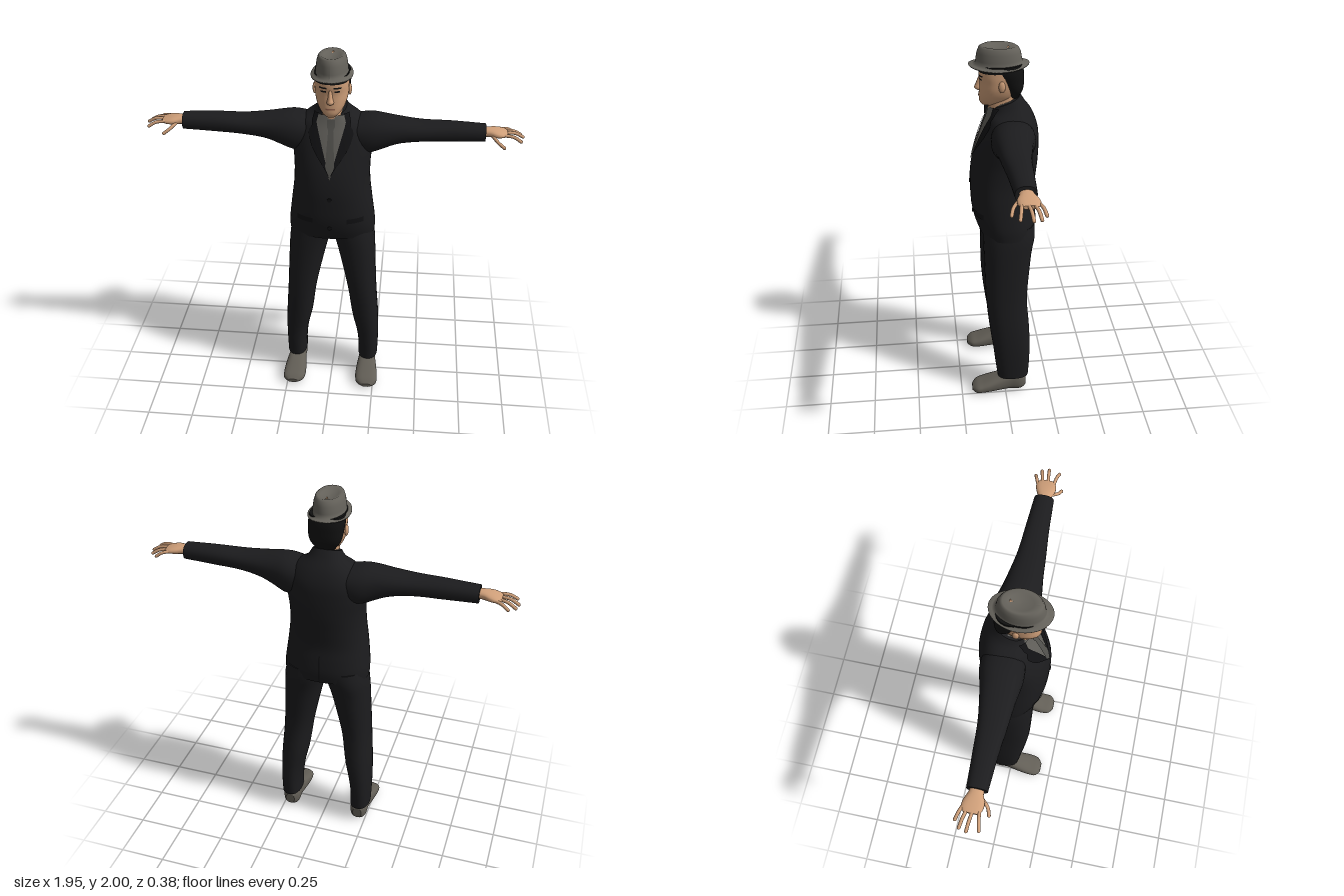
import * as THREE from 'three';

const mat = (name, color, side = THREE.FrontSide) => {
  const m = new THREE.MeshStandardMaterial({ color, side });
  m.name = name;
  return m;
};

// Fills a geometry from points and faces; turns the faces outward when they enclose negative volume.
function build(pos, idx, solid = true) {
  if (solid) {
    const p = (i) => new THREE.Vector3().fromArray(pos, i * 3);
    let vol = 0;
    for (let i = 0; i < idx.length; i += 3) vol += p(idx[i]).dot(p(idx[i + 1]).cross(p(idx[i + 2])));
    if (vol < 0) idx.reverse();
  }
  const g = new THREE.BufferGeometry();
  g.setAttribute('position', new THREE.Float32BufferAttribute(pos, 3));
  g.setIndex(idx);
  g.computeVertexNormals();
  return g;
}

// Smooth interpolation of rows [t, a0, a1, b0, b1]
const spline = (rows) => {
  const s = new THREE.CubicInterpolant(rows.map((r) => r[0]), rows.flatMap((r) => r.slice(1)), 4);
  return (t) => [...s.evaluate(t)];
};

// Rounded cross-sections swept along an axis, capped at both ends
function loft(rows, axis, { s = 1, n = 2.3, steps = 28, seg = 28, warp } = {}) {
  const at = spline(rows), pos = [], idx = [];
  const t0 = rows[0][0], t1 = rows[rows.length - 1][0];
  const pw = (v) => Math.sign(v) * Math.abs(v) ** (2 / n);
  const put = (a, b, t) => {
    const v = axis === 'y' ? [a, t, b] : axis === 'x' ? [t, a, b] : [a, b, t];
    if (warp) warp(v);
    pos.push(v[0] * s, v[1], v[2]);
  };
  const ring = (t) => {
    const [a0, a1, b0, b1] = at(t);
    for (let j = 0; j < seg; j++) {
      const q = (j / seg) * Math.PI * 2;
      put((a0 + a1) / 2 + ((a1 - a0) / 2) * pw(Math.cos(q)), (b0 + b1) / 2 + ((b1 - b0) / 2) * pw(Math.sin(q)), t);
    }
  };
  for (let i = 0; i <= steps; i++) ring(t0 + ((t1 - t0) * i) / steps);
  for (let i = 0; i < steps; i++) for (let j = 0; j < seg; j++) {
    const a = i * seg + j, b = i * seg + ((j + 1) % seg);
    idx.push(a, b, a + seg, b, b + seg, a + seg);
  }
  for (const t of [t0, t1]) {
    const k = pos.length / 3, [a0, a1, b0, b1] = at(t);
    ring(t);
    put((a0 + a1) / 2, (b0 + b1) / 2, t);
    for (let j = 0; j < seg; j++) {
      const e = [k + j, k + ((j + 1) % seg), k + seg];
      idx.push(...(t === t0 ? e.reverse() : e));
    }
  }
  return build(pos, idx);
}

// Symmetric row: height, half width, front z, back z
const sym = ([y, w, f, b]) => [y, -w, w, b, f];

const JACKET = [
  [0.995, 0.23, 0.125, -0.175], [1.05, 0.23, 0.145, -0.182], [1.12, 0.222, 0.16, -0.178],
  [1.2, 0.212, 0.165, -0.17], [1.3, 0.2, 0.165, -0.178], [1.4, 0.198, 0.15, -0.188],
  [1.5, 0.205, 0.12, -0.19], [1.58, 0.195, 0.092, -0.183], [1.64, 0.155, 0.07, -0.16],
  [1.69, 0.1, 0.058, -0.122], [1.74, 0.072, 0.045, -0.095]].map(sym);
const HEAD = [
  [1.695, 0.03, 0.098, 0], [1.71, 0.046, 0.11, -0.03], [1.74, 0.066, 0.113, -0.06],
  [1.78, 0.08, 0.111, -0.08], [1.82, 0.085, 0.109, -0.09], [1.86, 0.086, 0.113, -0.09],
  [1.9, 0.083, 0.108, -0.09], [1.93, 0.07, 0.09, -0.08]].map(sym);

// Thin panel lying on the front (dir 1) or back (dir -1) of a lofted body
function panel(rows, y0, y1, span, off, dir = 1, steps = 16, cols = 8) {
  const at = spline(rows), pos = [], idx = [];
  for (let i = 0; i <= steps; i++) {
    const y = y0 + ((y1 - y0) * i) / steps, [l, r] = span(y), [, w, b, f] = at(y);
    for (let j = 0; j <= cols; j++) {
      const x = l + ((r - l) * j) / cols;
      const d = ((f - b) / 2) * Math.max(0, 1 - Math.abs(x / w) ** 2.3) ** (1 / 2.3);
      pos.push(x, y, (f + b) / 2 + dir * (d + off));
    }
  }
  for (let i = 0; i < steps; i++) for (let j = 0; j < cols; j++) {
    const a = i * (cols + 1) + j, c = a + cols + 1;
    idx.push(...(dir > 0 ? [a, a + 1, c, a + 1, c + 1, c] : [a, c, a + 1, a + 1, c, c + 1]));
  }
  return build(pos, idx, false);
}

export function createModel() {
  const root = new THREE.Group();
  root.name = 'suitedMan';
  const suit = mat('suit', 0x1c1c1e), trim = mat('suitTrim', 0x121214), felt = mat('felt', 0x65625b, THREE.DoubleSide);
  const shoeMat = mat('shoe', 0x625e56), cloth = mat('shirt', 0x62605b), tieMat = mat('tie', 0x52514d);
  const skin = mat('skin', 0xd0a07a), hairMat = mat('hair', 0x111111), lip = mat('lips', 0x9c6a54);
  const add = (name, geo, m) => {
    const mesh = new THREE.Mesh(geo, m);
    mesh.name = name;
    root.add(mesh);
    return mesh;
  };
  const ease = THREE.MathUtils.smoothstep;

  // Jacket: the neckline slopes down towards the front
  add('jacket', loft(JACKET, 'y', { steps: 44, seg: 44, warp: (v) => { v[1] -= ease(v[1], 1.62, 1.74) * (v[2] + 0.09) * 0.4; } }), suit);

  // Shirt, tie and lapels
  const vee = (y) => 0.078 * Math.min(1, Math.max(0, (y - 1.37) / 0.28)) * (1 - 0.15 * ease(y, 1.65, 1.7));
  add('shirtFront', panel(JACKET, 1.37, 1.69, (y) => [-vee(y), vee(y)], 0.004), cloth);
  add('shirtCollar', loft([[1.64, 0.07, 0.066, -0.09], [1.68, 0.066, 0.068, -0.092], [1.735, 0.058, 0.05, -0.09]].map(sym), 'y',
    { warp: (v) => { v[1] -= ease(v[1], 1.64, 1.73) * (v[2] + 0.09) * 0.3; } }), cloth);
  const tieW = (y) => (y > 1.63 ? 0.02 : 0.012 + (1.63 - y) * 0.06) * ease(y, 1.38, 1.45);
  add('tie', panel(JACKET, 1.39, 1.67, (y) => [-tieW(y), tieW(y)], 0.009), tieMat);
  for (const s of [1, -1]) {
    const lap = (y) => {
      const x0 = vee(y) - 0.004, x1 = x0 + 0.055 * ease(y, 1.37, 1.56) * (1 - 0.55 * ease(y, 1.6, 1.64));
      return s > 0 ? [x0, x1] : [-x1, -x0];
    };
    add('lapel', panel(JACKET, 1.37, 1.695, lap, 0.007), trim);
    add('pocketFlap', panel(JACKET, 1.11, 1.14, (y) => (s > 0 ? [0.09, 0.175] : [-0.175, -0.09]), 0.004, 1, 3), trim);
  }
  add('backVent', panel(JACKET, 1.0, 1.16, () => [-0.004, 0.004], 0.002, -1, 8, 1), trim);
  for (const [y, z] of [[1.26, 0.167], [1.08, 0.154]]) {
    const b = add('button', new THREE.CylinderGeometry(0.011, 0.011, 0.008, 16), trim);
    b.rotation.x = Math.PI / 2;
    b.position.set(0, y, z);
  }

  for (const s of [1, -1]) {
    // Sleeves
    add('sleeve', loft([
      [0.08, 1.48, 1.64, -0.14, 0.05], [0.14, 1.465, 1.652, -0.155, 0.065], [0.2, 1.46, 1.662, -0.152, 0.07],
      [0.26, 1.485, 1.658, -0.135, 0.065], [0.33, 1.515, 1.648, -0.12, 0.056], [0.45, 1.535, 1.637, -0.1, 0.046],
      [0.6, 1.54, 1.637, -0.09, 0.032], [0.775, 1.545, 1.63, -0.08, 0.022]], 'x', { s }), suit);
    // Trouser legs
    add('trouserLeg', loft([
      [0.1, 0.155, 0.266, -0.132, 0.042], [0.2, 0.153, 0.268, -0.138, 0.055], [0.3, 0.14, 0.268, -0.14, 0.066],
      [0.4, 0.118, 0.264, -0.138, 0.08], [0.6, 0.09, 0.25, -0.125, 0.1], [0.8, 0.048, 0.24, -0.14, 0.106],
      [0.9, 0.024, 0.235, -0.152, 0.108], [0.98, 0.0, 0.228, -0.168, 0.11], [1.05, -0.03, 0.215, -0.168, 0.11]], 'y', { s }), suit);
    // Shoes
    add('shoe', loft([
      [-0.118, 0.182, 0.234, 0.02, 0.085], [-0.1, 0.165, 0.25, 0.004, 0.11], [-0.02, 0.16, 0.255, 0.002, 0.115],
      [0.06, 0.15, 0.268, 0.002, 0.09], [0.13, 0.148, 0.274, 0.002, 0.064], [0.17, 0.16, 0.268, 0.004, 0.05],
      [0.19, 0.188, 0.242, 0.012, 0.034]], 'z', { s, n: 2.6 }), shoeMat);
    // Hands with four fingers and a thumb
    add('palm', loft([
      [0.74, 1.568, 1.612, -0.06, 0.002], [0.79, 1.57, 1.614, -0.066, 0.006], [0.83, 1.57, 1.61, -0.082, 0.02],
      [0.865, 1.573, 1.602, -0.084, 0.016], [0.885, 1.578, 1.596, -0.07, 0.004]], 'x', { s, steps: 14, seg: 18 }), skin);
    const fingers = [
      [[0.85, 1.588, -0.074], [0.89, 1.583, -0.09], [0.922, 1.563, -0.1]],
      [[0.86, 1.589, -0.052], [0.915, 1.585, -0.066], [0.955, 1.563, -0.074]],
      [[0.86, 1.59, -0.026], [0.925, 1.587, -0.034], [0.965, 1.566, -0.038]],
      [[0.86, 1.589, 0.002], [0.915, 1.586, 0.01], [0.952, 1.566, 0.018]],
      [[0.81, 1.585, 0.005], [0.84, 1.562, 0.035], [0.87, 1.541, 0.046]]];
    for (const f of fingers) {
      const pts = f.map(([x, y, z]) => new THREE.Vector3(x * s, y, z));
      add('finger', new THREE.TubeGeometry(new THREE.CatmullRomCurve3(pts), 8, 0.0085, 10), skin);
      add('fingertip', new THREE.SphereGeometry(0.0085, 10, 8), skin).position.copy(pts[2]);
    }
    // Ears, eyes and brows
    const ear = add('ear', new THREE.SphereGeometry(1, 14, 10), skin);
    ear.scale.set(0.01, 0.03, 0.017);
    ear.position.set(s * 0.088, 1.812, 0.005);
    const band = (c, w) => () => [s * c - w, s * c + w];
    add('eye', panel(HEAD, 1.833, 1.842, band(0.034, 0.013), 0.002, 1, 2), hairMat);
    add('brow', panel(HEAD, 1.853, 1.861, band(0.036, 0.019), 0.003, 1, 2), hairMat);
  }

  // Neck, head and face
  add('neck', loft([[1.6, 0.055, 0.055, -0.07], [1.68, 0.053, 0.067, -0.075], [1.78, 0.055, 0.06, -0.08]].map(sym), 'y'), skin);
  add('head', loft(HEAD, 'y', { seg: 36 }), skin);
  add('nose', loft([[1.77, 0.012, 0.118, 0.09], [1.78, 0.018, 0.135, 0.09], [1.8, 0.013, 0.13, 0.09], [1.845, 0.008, 0.112, 0.09]].map(sym), 'y',
    { n: 2, steps: 10, seg: 14 }), skin);
  add('mouth', panel(HEAD, 1.742, 1.75, () => [-0.024, 0.024], 0.003, 1, 2), lip);

  // Hair at the back and under the brim
  add('hair', loft([
    [1.735, 0.05, -0.04, -0.088], [1.78, 0.08, -0.018, -0.109], [1.84, 0.09, 0.022, -0.113],
    [1.87, 0.092, 0.045, -0.112], [1.91, 0.088, 0.06, -0.105]].map(sym), 'y'), hairMat);
  add('hairline', loft([[1.876, 0.088, 0.117, -0.09], [1.91, 0.086, 0.114, -0.09]].map(sym), 'y', { steps: 2 }), hairMat);

  // Hat: oval crown with a dented top and a curled brim
  const profile = [[0.72, 1.9], [0.88, 1.89], [0.99, 1.891], [1, 1.896], [0.88, 1.899], [0.78, 1.908], [0.76, 1.93],
    [0.72, 1.965], [0.65, 1.99], [0.56, 1.998], [0.4, 1.99], [0.2, 1.984], [0, 1.983]].map(([x, y]) => new THREE.Vector2(x, y));
  const hat = new THREE.LatheGeometry(profile, 48);
  const p = hat.attributes.position;
  for (let i = 0; i < p.count; i++) {
    const x = p.getX(i), y = p.getY(i), z = p.getZ(i);
    const lift = y < 1.92 ? 0.012 * z * z * Math.hypot(x, z) : 0.006 * z * ease(y, 1.93, 2);
    p.setXYZ(i, x * 0.105, Math.min(2, y + lift), z * 0.152 + 0.012);
  }
  hat.computeVertexNormals();
  add('hat', hat, felt);
  // Small skin-toned point in the dent of the crown
  add('crownPoint', new THREE.ConeGeometry(0.013, 0.012, 3), skin).position.set(0, 1.988, -0.035);
  return root;
}
